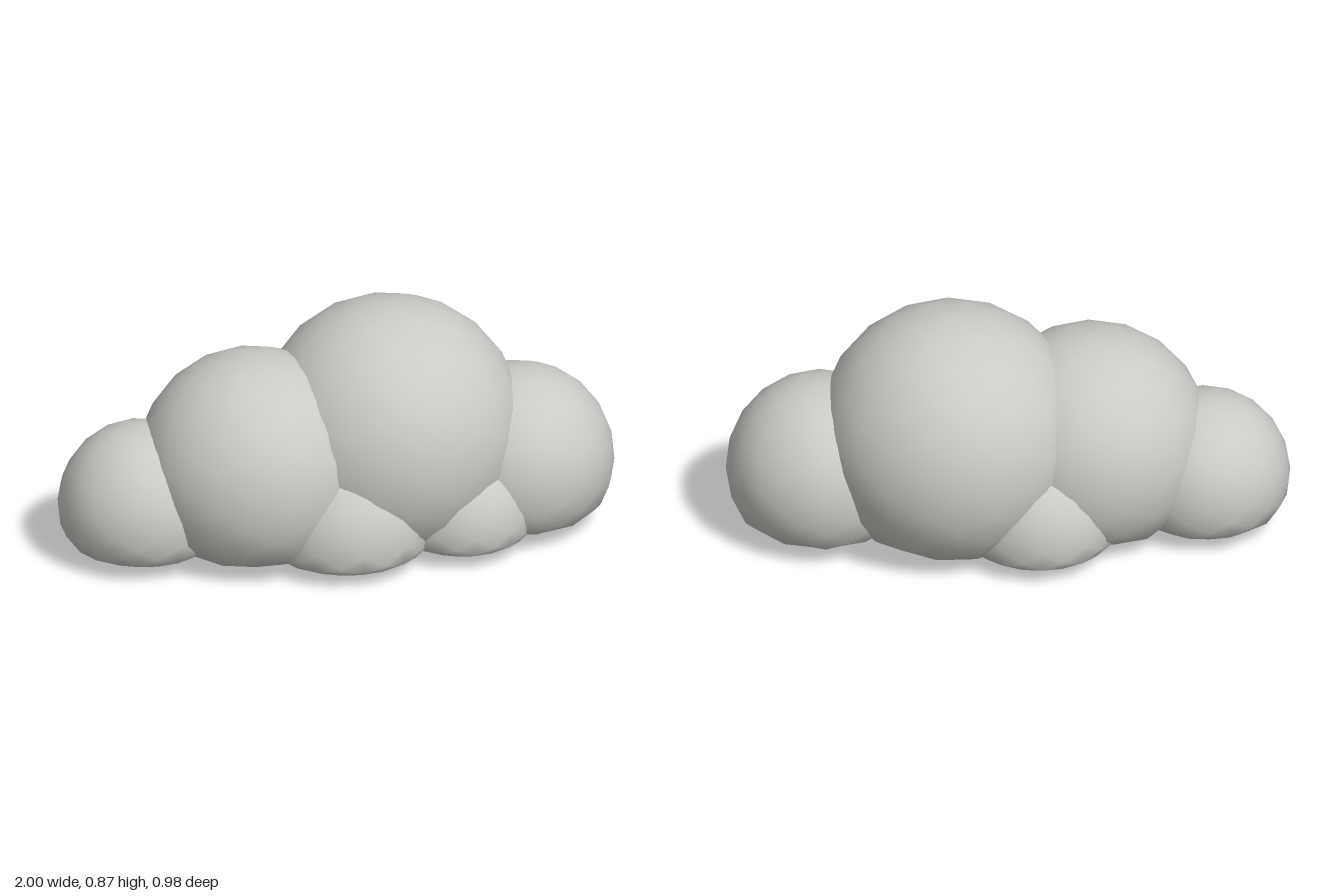
import * as THREE from 'three';
import { mergeVertices } from 'three/addons/utils/BufferGeometryUtils.js';

// Height below which every puff is squashed into a shallow underside
const FLOOR = 0.08;
const SQUASH = 0.3;

// Smooth icosphere whose lower part is flattened
function puffGeometry(radius, x, y, z) {
  let geo = new THREE.IcosahedronGeometry(radius, 3);
  geo.deleteAttribute('normal');
  geo.deleteAttribute('uv');
  geo = mergeVertices(geo, 1e-4);
  geo.translate(x, y, z);
  const pos = geo.attributes.position;
  for (let i = 0; i < pos.count; i++) {
    const h = pos.getY(i);
    if (h < FLOOR) pos.setY(i, FLOOR - (FLOOR - h) * SQUASH);
  }
  geo.computeVertexNormals();
  return geo;
}

export function createModel() {
  const cloud = new THREE.Group();
  cloud.name = 'cloud';
  const cloudGrey = new THREE.MeshStandardMaterial({ color: 0xcccac5 });
  cloudGrey.name = 'cloudGrey';

  // name, radius, centre x, y, z
  const puffs = [
    ['mainPuff', 0.478, 0.2, 0.398, -0.014],
    ['secondPuff', 0.422, -0.3, 0.325, 0.035],
    ['rightEndPuff', 0.302, -0.7, 0.198, 0.005],
    ['leftEndPuff', 0.34, 0.66, 0.255, 0.025],
    ['frontPuff', 0.312, 0, 0.14, 0.178],
    ['frontLeftPuff', 0.255, 0.42, 0.137, 0.178],
    ['backPuff', 0.285, -0.1, 0.15, -0.17],
  ];
  for (const [name, radius, x, y, z] of puffs) {
    const puff = new THREE.Mesh(puffGeometry(radius, x, y, z), cloudGrey);
    puff.name = name;
    cloud.add(puff);
  }
  return cloud;
}
